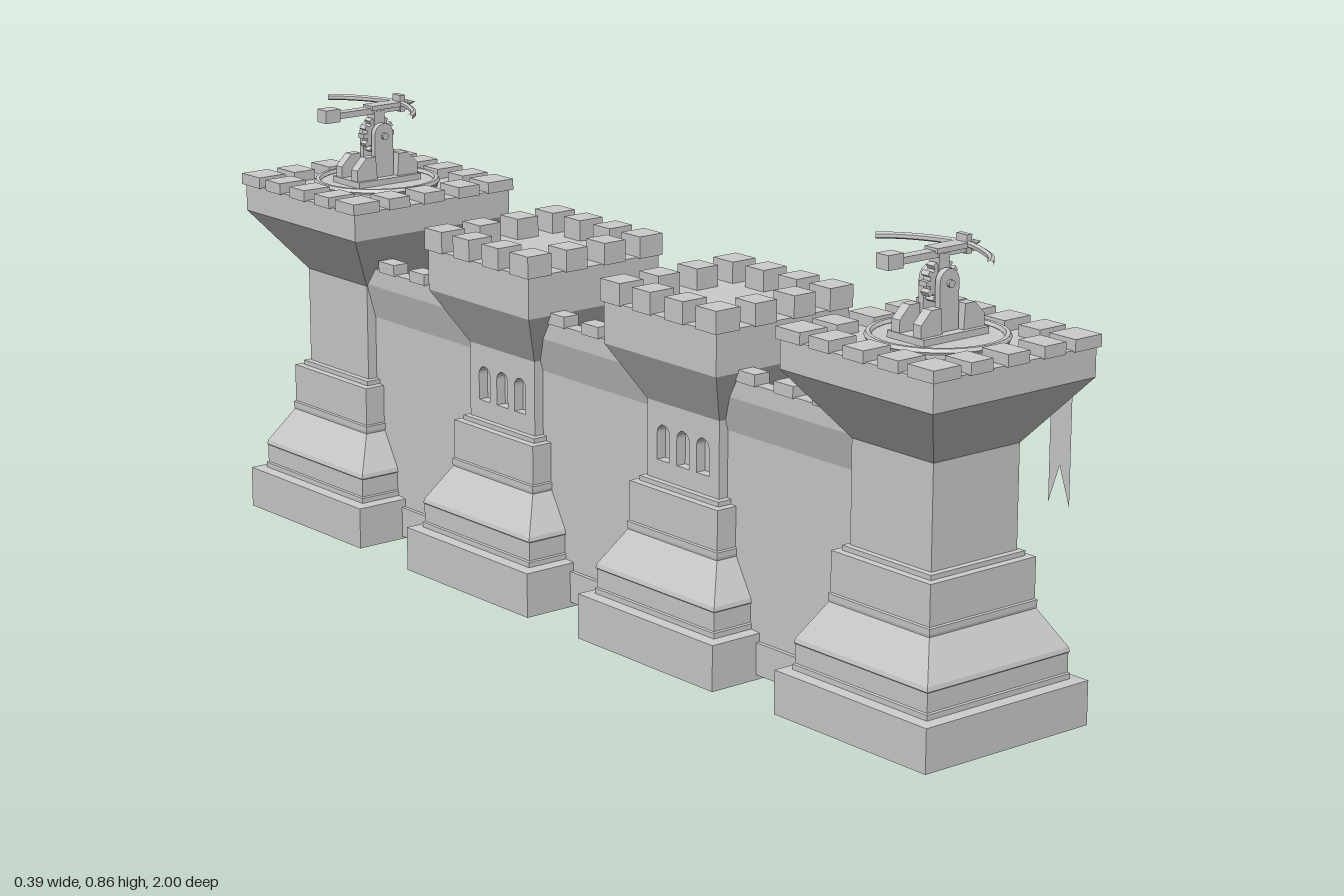
import * as THREE from 'three';

const grey = new THREE.MeshStandardMaterial({ color: 0xcccccc, flatShading: true });
const thin = new THREE.MeshStandardMaterial({ color: 0xcccccc, side: THREE.DoubleSide });

function add(parent, name, geo, x = 0, y = 0, z = 0, mat = grey) {
  const m = new THREE.Mesh(geo, mat);
  m.name = name;
  m.position.set(x, y, z);
  parent.add(m);
  return m;
}

// Box given by its limits on each axis
function block(parent, name, x0, x1, y0, y1, z0, z1) {
  return add(parent, name, new THREE.BoxGeometry(x1 - x0, y1 - y0, z1 - z0),
    (x0 + x1) / 2, (y0 + y1) / 2, (z0 + z1) / 2);
}

// Square tower section from [halfWidth, y] pairs
function squareStack(parent, name, profile) {
  const pts = [[0, profile[0][1]], ...profile, [0, profile[profile.length - 1][1]]]
    .map(([r, y]) => new THREE.Vector2(r * Math.SQRT2, y));
  const g = new THREE.LatheGeometry(pts, 4, Math.PI / 4).toNonIndexed();
  g.computeVertexNormals();
  return add(parent, name, g);
}

function polygon(points) {
  return new THREE.Shape(points.map(([x, y]) => new THREE.Vector2(x, y)));
}

// Upright panel facing +x or -x, pierced by windows at the given z positions
function piercedPanel(parent, name, side, xOuter, depth, z0, z1, y0, y1, windows, w, sill, head, arched) {
  const s = -side;
  const a = Math.min(s * z0, s * z1), b = Math.max(s * z0, s * z1);
  const shape = polygon([[a, y0], [b, y0], [b, y1], [a, y1]]);
  for (const z of windows) {
    const c = s * z, h = new THREE.Path();
    h.moveTo(c - w / 2, sill);
    h.lineTo(c - w / 2, head);
    if (arched) h.absarc(c, head, w / 2, Math.PI, 0, true);
    else h.lineTo(c + w / 2, head);
    h.lineTo(c + w / 2, sill);
    h.closePath();
    shape.holes.push(h);
  }
  const g = new THREE.ExtrudeGeometry(shape, { depth, bevelEnabled: false, curveSegments: 6 });
  g.rotateY(side * Math.PI / 2);
  add(parent, name, g, side * (xOuter - depth));
}

// Ring of merlons around a square crown
function merlons(parent, half, count, size, depth, y0, y1) {
  const step = (2 * half - size) / (count - 1);
  for (let i = 0; i < count; i++) for (let j = 0; j < count; j++) {
    const rimI = i === 0 || i === count - 1, rimJ = j === 0 || j === count - 1;
    if (!rimI && !rimJ) continue;
    const dx = rimI ? depth : size, dz = rimJ ? depth : size;
    const place = (k, d) => k === 0 ? -half + d / 2 : k === count - 1 ? half - d / 2 : -half + size / 2 + k * step;
    add(parent, 'merlon', new THREE.BoxGeometry(dx, y1 - y0, dz), place(i, dx), (y0 + y1) / 2, place(j, dz));
  }
}

// Swallow-tailed cloth hanging on the +x side
function banner(parent, x, z, top, bottom) {
  const w = 0.025;
  const g = new THREE.ShapeGeometry(polygon([[-w, top], [-w, bottom], [0, bottom + 0.07], [w, bottom], [w, top]]));
  add(parent, 'banner', g.rotateY(Math.PI / 2), x, 0, z, thin);
}

const footing = (y0) => [
  [0.19, y0], [0.19, 0.086], [0.168, 0.088], [0.168, 0.098], [0.165, 0.1], [0.165, 0.135],
  [0.167, 0.137], [0.165, 0.145], [0.125, 0.213], [0.126, 0.218], [0.126, 0.228], [0.123, 0.23],
  [0.123, 0.305], [0.11, 0.306], [0.11, 0.315], [0.1, 0.316]];

// Giant crossbow on a turntable, aiming along +x
function ballista() {
  const b = new THREE.Group();
  b.name = 'ballista';
  add(b, 'turntable', new THREE.CylinderGeometry(0.12, 0.12, 0.012, 32), 0, 0.682, 0);
  add(b, 'turntableRim', new THREE.TorusGeometry(0.118, 0.007, 6, 32).rotateX(Math.PI / 2), 0, 0.689, 0);
  block(b, 'mountPlate', -0.075, 0.075, 0.685, 0.7, -0.045, 0.045);

  const foot = polygon([[0.024, 0.695], [0.073, 0.695], [0.073, 0.722], [0.05, 0.745], [0.028, 0.745]]);
  const cheek = new THREE.Shape();
  cheek.moveTo(-0.022, 0.69);
  cheek.lineTo(0.022, 0.69);
  cheek.lineTo(0.022, 0.785);
  cheek.absarc(0, 0.785, 0.022, 0, Math.PI, false);
  cheek.closePath();
  for (const s of [-1, 1]) {
    const fg = new THREE.ExtrudeGeometry(foot, { depth: 0.02, bevelEnabled: false });
    for (const r of [0, Math.PI]) {
      const f = add(b, 'foot', fg, 0, 0, s * 0.026 + (r ? 0.01 : -0.01));
      f.rotation.y = r;
    }
    add(b, 'cheek', new THREE.ExtrudeGeometry(cheek, { depth: 0.012, bevelEnabled: false, curveSegments: 8 }),
      0, 0, s * 0.02 - 0.006);
  }
  // Toothed wheel between the cheeks
  const gear = new THREE.Group();
  gear.name = 'gear';
  gear.position.y = 0.782;
  add(gear, 'wheel', new THREE.CylinderGeometry(0.029, 0.029, 0.018, 20).rotateX(Math.PI / 2));
  for (let i = 0; i < 12; i++) {
    const a = i * Math.PI / 6;
    add(gear, 'tooth', new THREE.BoxGeometry(0.012, 0.009, 0.018), Math.cos(a) * 0.031, Math.sin(a) * 0.031, 0)
      .rotation.z = a;
  }
  b.add(gear);
  add(b, 'axle', new THREE.CylinderGeometry(0.007, 0.007, 0.064, 10).rotateX(Math.PI / 2), 0, 0.782, 0);

  // Stock, windlass, bow and bolt
  block(b, 'neck', -0.012, 0.012, 0.8, 0.83, -0.012, 0.012);
  block(b, 'stock', -0.1, 0.07, 0.825, 0.837, -0.011, 0.011);
  block(b, 'stockEnd', -0.13, -0.096, 0.82, 0.846, -0.015, 0.015);
  block(b, 'cradle', -0.02, 0.05, 0.833, 0.842, -0.016, 0.016);
  block(b, 'bowClamp', 0.05, 0.062, 0.822, 0.855, -0.013, 0.013);
  const curve = new THREE.CatmullRomCurve3([[-0.018, -0.138], [0.012, -0.11], [0.04, -0.06], [0.056, 0],
    [0.04, 0.06], [0.012, 0.11], [-0.018, 0.138]].map(([x, z]) => new THREE.Vector3(x, 0, z)));
  add(b, 'bow', new THREE.TubeGeometry(curve, 24, 0.006, 6), 0, 0.838, 0);
  add(b, 'bolt', new THREE.CylinderGeometry(0.003, 0.003, 0.1, 6).rotateZ(-Math.PI / 2), 0.03, 0.836, 0);
  add(b, 'boltHead', new THREE.ConeGeometry(0.008, 0.022, 6).rotateZ(-Math.PI / 2), 0.085, 0.836, 0);
  return b;
}

function endTower(z) {
  const t = new THREE.Group();
  t.name = 'endTower';
  t.position.z = z;
  squareStack(t, 'towerBody', [...footing(0.005), [0.1, 0.505], [0.187, 0.622], [0.187, 0.677]]);
  merlons(t, 0.193, 5, 0.05, 0.062, 0.675, 0.697);
  for (const s of [-1, 1]) banner(t, 0.19, s * 0.107, 0.65, 0.38);
  t.add(ballista());
  return t;
}

function middleTower(z) {
  const t = new THREE.Group();
  t.name = 'middleTower';
  t.position.z = z;
  squareStack(t, 'towerFoot', footing(0));
  block(t, 'shaftCore', -0.08, 0.08, 0.31, 0.47, -0.1, 0.1);
  for (const side of [-1, 1])
    piercedPanel(t, 'shaftFace', side, 0.1, 0.02, -0.1, 0.1, 0.312, 0.46, [-0.055, 0, 0.055], 0.034, 0.352, 0.402, true);
  squareStack(t, 'towerCrown', [[0.1, 0.46], [0.155, 0.56], [0.155, 0.64]]);
  merlons(t, 0.16, 4, 0.05, 0.055, 0.638, 0.68);
  for (const s of [-1, 1]) banner(t, 0.158, s * 0.094, 0.6, 0.35);
  return t;
}

// Curtain wall with a flared parapet on both sides; windows on the +x face only
function wall(z0, z1, windows) {
  const w = new THREE.Group();
  w.name = 'wall';
  block(w, 'plinth', -0.088, 0.088, 0.01, 0.07, z0, z1);
  block(w, 'wallCore', -0.08, 0.06, 0.01, 0.45, z0, z1);
  piercedPanel(w, 'windowFace', 1, 0.08, 0.02, z0, z1, 0.01, 0.45, windows, 0.05, 0.34, 0.42, false);
  const section = polygon([[-0.08, 0.44], [0.08, 0.44], [0.1, 0.51], [0.1, 0.545], [0.072, 0.545], [0.072, 0.515],
    [-0.072, 0.515], [-0.072, 0.545], [-0.1, 0.545], [-0.1, 0.51]]);
  add(w, 'parapet', new THREE.ExtrudeGeometry(section, { depth: z1 - z0, bevelEnabled: false }), 0, 0, z0);
  const mid = (z0 + z1) / 2;
  for (const s of [-1, 1]) for (const k of [-1, 0, 1])
    add(w, 'wallMerlon', new THREE.BoxGeometry(0.034, 0.022, 0.05), s * 0.087, 0.554, mid + k * 0.1);
  return w;
}

export function createModel() {
  const model = new THREE.Group();
  model.name = 'fortifiedWall';
  model.add(endTower(0.807), endTower(-0.807), middleTower(0.262), middleTower(-0.27));
  model.add(wall(0.33, 0.74, [0.645, 0.545, 0.44]));
  model.add(wall(-0.2, 0.2, [0.108, 0.006, -0.098]));
  model.add(wall(-0.74, -0.33, [-0.44, -0.545, -0.645]));
  return model;
}
